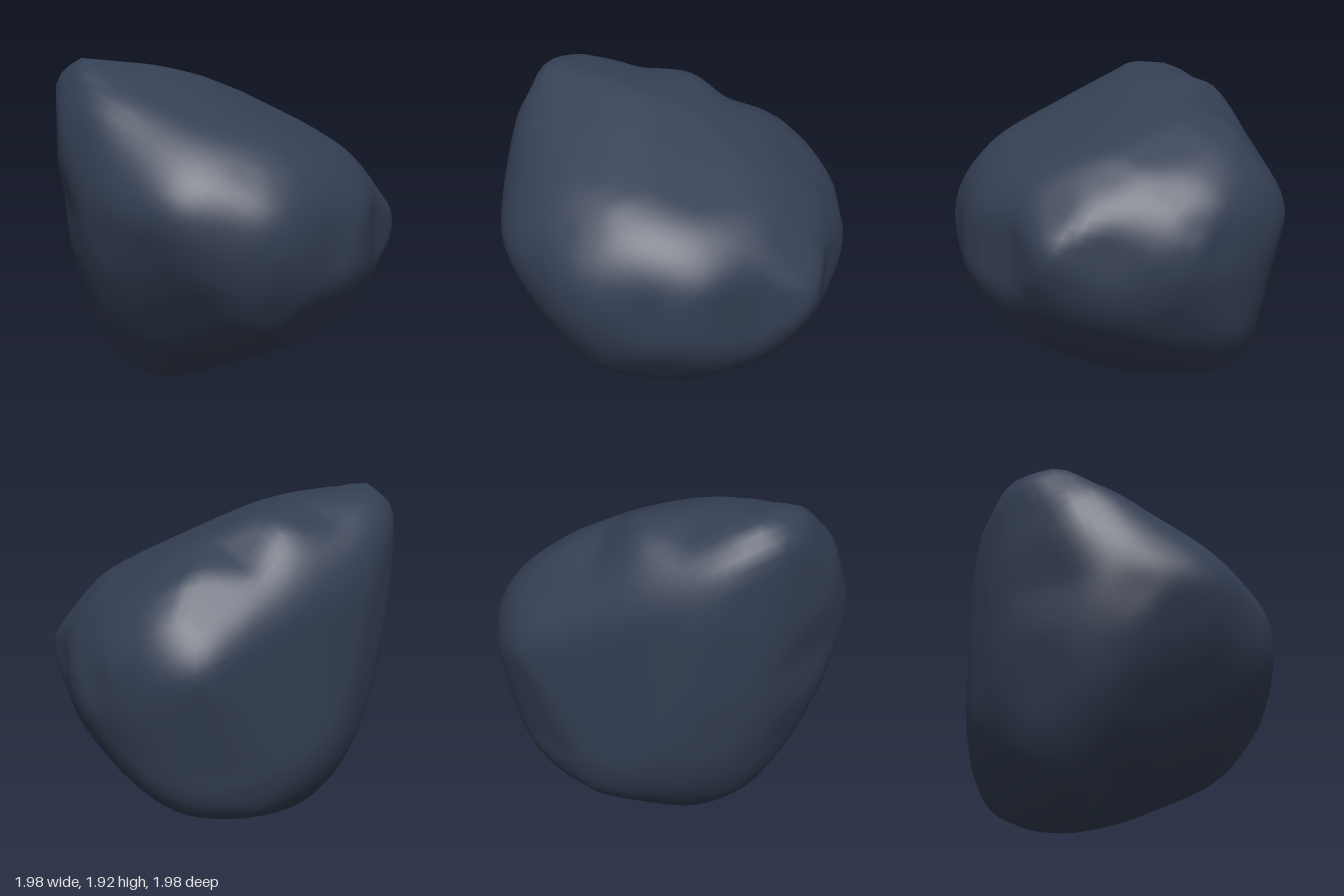
import * as THREE from 'three';
import { mergeVertices } from 'three/addons/utils/BufferGeometryUtils.js';

const MID = 0.957; // height of the boulder's centre
const BINS = 40; // sectors checked around each outline
const PASSES = 60;

// Outlines of the boulder on planes through its centre: [across, up] pairs.
const lower = (pts) => pts.map(([u, v]) => [u, v - MID]);
const frontOutline = lower([
  [-1, 1.79], [-.86, 1.92], [-.43, 1.88], [-.14, 1.82], [.12, 1.72], [.63, 1.46], [.86, 1.22],
  [1, .98], [.9, .71], [.79, .54], [.6, .37], [.35, .21], [0, .07], [-.18, 0], [-.41, 0],
  [-.65, .17], [-.77, .35], [-.85, .61], [-.93, .85], [-.94, 1.1], [-1, 1.37]]);
const sideOutline = lower([
  [.05, 1.92], [-.15, 1.92], [-.31, 1.86], [-.55, 1.79], [-.69, 1.59], [-.94, 1.28], [-1, 1.12],
  [-.93, .82], [-.86, .52], [-.85, .35], [-.71, .2], [-.36, .04], [-.17, 0], [-.04, 0], [.06, .09],
  [.36, .24], [.77, .47], [.95, .79], [1, 1], [.97, 1.2], [.75, 1.49], [.43, 1.69]]);
const planOutline = [
  [.2, -1], [.3, -1], [.4, -.96], [.63, -.78], [.71, -.67], [.81, -.58], [.87, -.4], [.89, -.13],
  [1, .2], [.76, .41], [.6, .66], [.47, .79], [.33, .83], [.19, .92], [.05, .98], [-.13, .99],
  [-.53, .89], [-.75, .71], [-.97, .33], [-1, .2], [-1, .06], [-.97, -.22], [-.82, -.46],
  [-.71, -.57], [-.49, -.69], [.06, -.95]];
const diagonalA = [
  [-.57, 1.12], [-.42, 1.12], [-.2, 1.02], [.1, 1.01], [.3, .83], [.58, .76], [.86, .51], [.96, .28],
  [1, .01], [.96, -.19], [.76, -.51], [.5, -.67], [.11, -.79], [-.13, -.8], [-.36, -.74], [-.6, -.61],
  [-.83, -.31], [-.9, -.19], [-1.02, .08], [-1, .37], [-.92, .74], [-.77, 1.03], [-.72, 1.08]];
const diagonalB = [
  [.38, .74], [.74, .68], [.93, .57], [1.02, .22], [.93, -.17], [.8, -.47], [.63, -.75], [.48, -.91],
  [.22, -1.03], [0, -1.02], [-.49, -.92], [-.74, -.75], [-.85, -.55], [-.97, -.17], [-1, .01],
  [-.93, .22], [-.75, .45], [-.56, .58], [-.35, .65], [.18, .74]];
const diagonalC = [
  [.3, .88], [.57, .84], [.86, .6], [.92, .51], [.92, .31], [.89, -.09], [.83, -.47], [.63, -.82],
  [.49, -.91], [.34, -.94], [.19, -.87], [-.09, -.83], [-.53, -.69], [-.81, -.38], [-.88, -.24],
  [-.9, -.1], [-.88, .07], [-.9, .26], [-.63, .53], [-.41, .68], [.06, .85]];

const V = (x, y, z) => new THREE.Vector3(x, y, z);

// Plane facing a compass turn from +z towards +x, tilted up or down (degrees).
function tilted(turn, tilt, outline) {
  const a = THREE.MathUtils.degToRad(turn), e = THREE.MathUtils.degToRad(tilt);
  const facing = V(Math.sin(a) * Math.cos(e), Math.sin(e), Math.cos(a) * Math.cos(e));
  const across = V(Math.cos(a), 0, -Math.sin(a));
  return { across, up: facing.cross(across), outline };
}

const planes = [
  { across: V(1, 0, 0), up: V(0, 1, 0), outline: frontOutline },
  { across: V(0, 0, 1), up: V(0, 1, 0), outline: sideOutline },
  { across: V(1, 0, 0), up: V(0, 0, 1), outline: planOutline },
  tilted(35, 25, diagonalA),
  tilted(215, 25, diagonalB),
  tilted(140, -30, diagonalC),
];

// How far a ray from the centre travels before it meets the outline.
function reach(px, py, outline) {
  let best = 50;
  outline.forEach(([ax, ay], i) => {
    const [bx, by] = outline[(i + 1) % outline.length];
    const ex = bx - ax, ey = by - ay, det = px * ey - py * ex;
    if (Math.abs(det) < 1e-9) return;
    const t = (ax * ey - ay * ex) / det, s = (ax * py - ay * px) / det;
    if (t > 0 && s >= -1e-6 && s <= 1 + 1e-6) best = Math.min(best, t);
  });
  return best;
}

function boulderGeometry() {
  const ball = new THREE.IcosahedronGeometry(1, 18);
  ball.deleteAttribute('uv');
  ball.deleteAttribute('normal');
  const geo = mergeVertices(ball, 1e-4);
  const pos = geo.attributes.position, n = pos.count;
  const dirs = Array.from({ length: n }, (_, i) => V(0, 0, 0).fromBufferAttribute(pos, i).normalize());

  // Neighbours of every vertex
  const near = dirs.map(() => new Set());
  for (let f = 0; f < geo.index.count; f += 3) {
    for (let k = 0; k < 3; k++) {
      const a = geo.index.getX(f + k), b = geo.index.getX(f + (k + 1) % 3);
      near[a].add(b);
      near[b].add(a);
    }
  }

  // Limit of every vertex in each plane, and the sector it lies in
  const limits = planes.map(({ across, up, outline }) => dirs.map((d) => {
    const px = d.dot(across), py = d.dot(up);
    const sector = Math.floor((Math.atan2(py, px) / (2 * Math.PI) + 0.5) * BINS) % BINS;
    return { t: reach(px, py, outline), sector };
  }));
  const hull = dirs.map((_, i) => Math.min(...limits.map((l) => l[i].t)));
  let r = hull.slice();

  const smooth = (amount) => {
    r = r.map((v, i) => {
      let sum = 0;
      for (const j of near[i]) sum += r[j];
      return Math.min(hull[i], v + amount * (sum / near[i].size - v));
    });
  };

  // Swell the surface softly until every sector touches its outline,
  // choosing the vertex that is nearest to it and free to get there
  const touch = (width) => {
    for (const limit of limits) {
      const best = new Array(BINS).fill(-1), score = new Array(BINS).fill(-Infinity);
      limit.forEach(({ t, sector }, i) => {
        const s = (r[i] - 3 * (t - hull[i])) / t;
        if (s > score[sector]) {
          score[sector] = s;
          best[sector] = i;
        }
      });
      for (const b of best) {
        if (b < 0) continue;
        const gap = hull[b] - r[b];
        if (gap < 0.002) continue;
        for (let j = 0; j < n; j++) {
          const c = 1 - dirs[b].dot(dirs[j]);
          if (c < width * 5) r[j] = Math.min(hull[j], r[j] + gap * Math.exp(-c / width));
        }
      }
    }
  };

  // From broad swelling to fine detail
  for (let pass = 0; pass < PASSES; pass++) {
    const k = 1 - pass / PASSES;
    for (let s = 0; s < 1 + 5 * k; s++) smooth(0.2 + 0.7 * k);
    touch(0.007 + 0.04 * k);
  }

  dirs.forEach((d, i) => pos.setXYZ(i, d.x * r[i], d.y * r[i] + MID, d.z * r[i]));
  geo.computeVertexNormals();
  return geo;
}

export function createModel() {
  const group = new THREE.Group();
  group.name = 'rock';
  const boulder = new THREE.Mesh(boulderGeometry(), new THREE.MeshStandardMaterial({ color: 0x343f54 }));
  boulder.name = 'boulder';
  group.add(boulder);
  return group;
}
